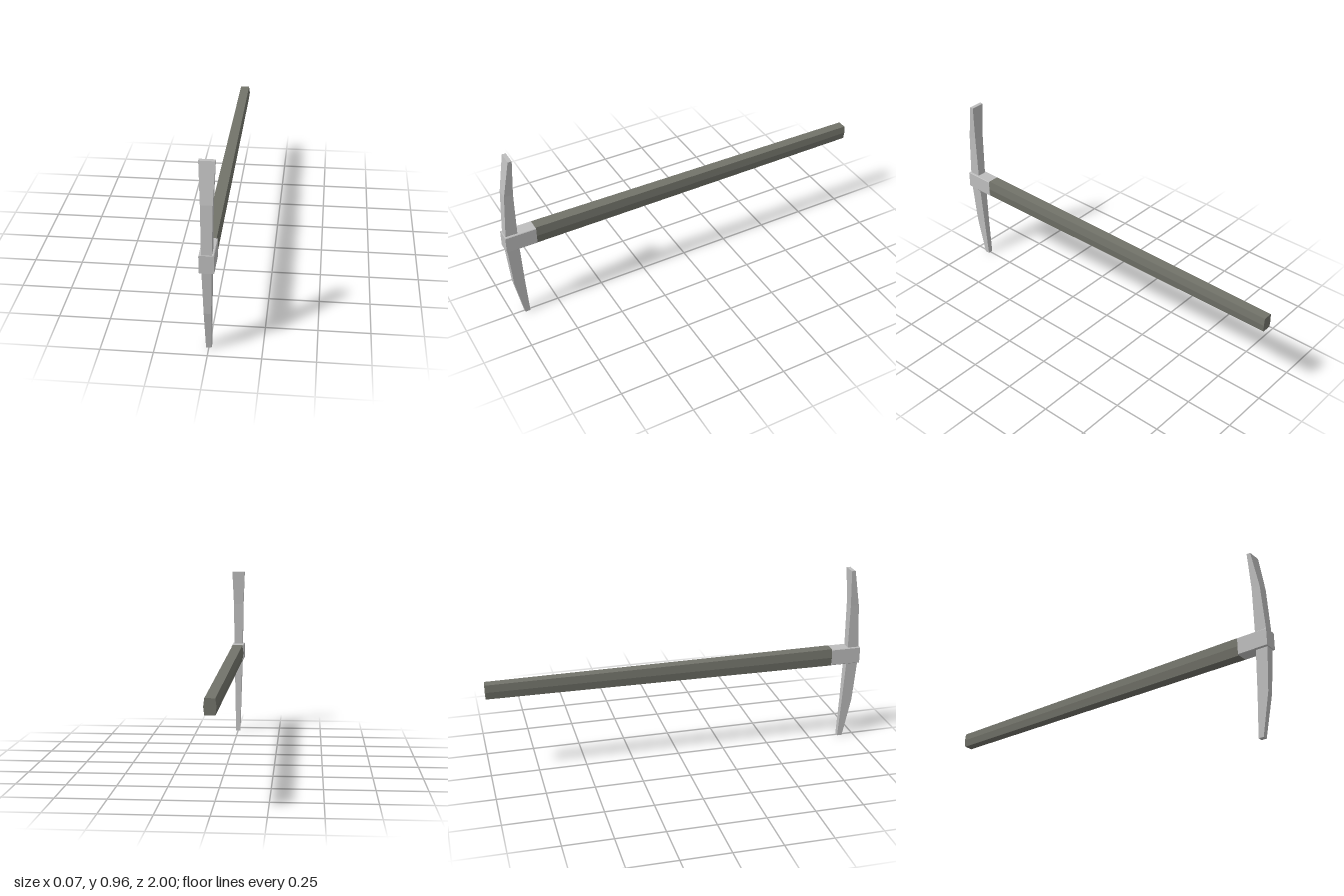
import * as THREE from 'three';

// Loft a closed solid through rings of points; rings run counter-clockwise seen from the end of the path.
function loft(rings) {
  const pos = [];
  const tri = (a, b, c) => pos.push(...a, ...b, ...c);
  const n = rings[0].length;
  for (let r = 0; r < rings.length - 1; r++) {
    for (let i = 0; i < n; i++) {
      const j = (i + 1) % n;
      tri(rings[r][i], rings[r][j], rings[r + 1][j]);
      tri(rings[r][i], rings[r + 1][j], rings[r + 1][i]);
    }
  }
  const first = rings[0], last = rings[rings.length - 1];
  for (let i = 1; i < n - 1; i++) {
    tri(first[0], first[i + 1], first[i]);
    tri(last[0], last[i], last[i + 1]);
  }
  const g = new THREE.BufferGeometry();
  g.setAttribute('position', new THREE.Float32BufferAttribute(pos, 3));
  g.computeVertexNormals();
  return g;
}

// Rectangular blade section at height y
const bladeRing = ([y, w, back, front]) => [
  [-w, y, front], [w, y, front], [w, y, back], [-w, y, back],
];

// Six-sided handle section: flat top and bottom, sides with a shallow ridge
const handleRing = ([z, y, mid, flat, h]) => [
  [mid, y, z], [flat, y + h, z], [-flat, y + h, z],
  [-mid, y, z], [-flat, y - h, z], [flat, y - h, z],
];

// Collar section: rectangle with slightly cut corners
const collarRing = (z) => {
  const w = 0.035, h = 0.045, c = 0.003, y = 0.485;
  return [
    [w, y - h + c, z], [w, y + h - c, z], [w - c, y + h, z], [-w + c, y + h, z],
    [-w, y + h - c, z], [-w, y - h + c, z], [-w + c, y - h, z], [w - c, y - h, z],
  ];
};

export function createModel() {
  const metal = new THREE.MeshStandardMaterial({ color: 0xbebebe });
  metal.name = 'steel grey';
  const wood = new THREE.MeshStandardMaterial({ color: 0x72736a });
  wood.name = 'weathered wood';
  metal.flatShading = wood.flatShading = true;

  const group = new THREE.Group();
  group.name = 'pickaxe';
  const add = (name, geometry, material) => {
    const mesh = new THREE.Mesh(geometry, material);
    mesh.name = name;
    group.add(mesh);
  };

  // Handle, tapering towards the back
  add('handle', loft([
    [-1, 0.484, 0.029, 0.024, 0.038],
    [0.84, 0.485, 0.0355, 0.029, 0.047],
  ].map(handleRing)), wood);

  // Collar holding the blades
  add('collar', loft([0.84, 1].map(collarRing)), metal);

  // Upper blade widens to a chisel edge
  add('chiselBlade', loft([
    [0.5, 0.024, 0.933, 0.994],
    [0.53, 0.024, 0.933, 0.994],
    [0.77, 0.028, 0.933, 0.978],
    [0.965, 0.037, 0.923, 0.943],
  ].map(bladeRing)), metal);

  // Lower blade narrows to a blunt pick
  add('pickBlade', loft([
    [0, 0.013, 0.909, 0.936],
    [0.215, 0.017, 0.921, 0.978],
    [0.44, 0.023, 0.931, 0.994],
    [0.47, 0.023, 0.931, 0.994],
  ].map(bladeRing)), metal);

  return group;
}
